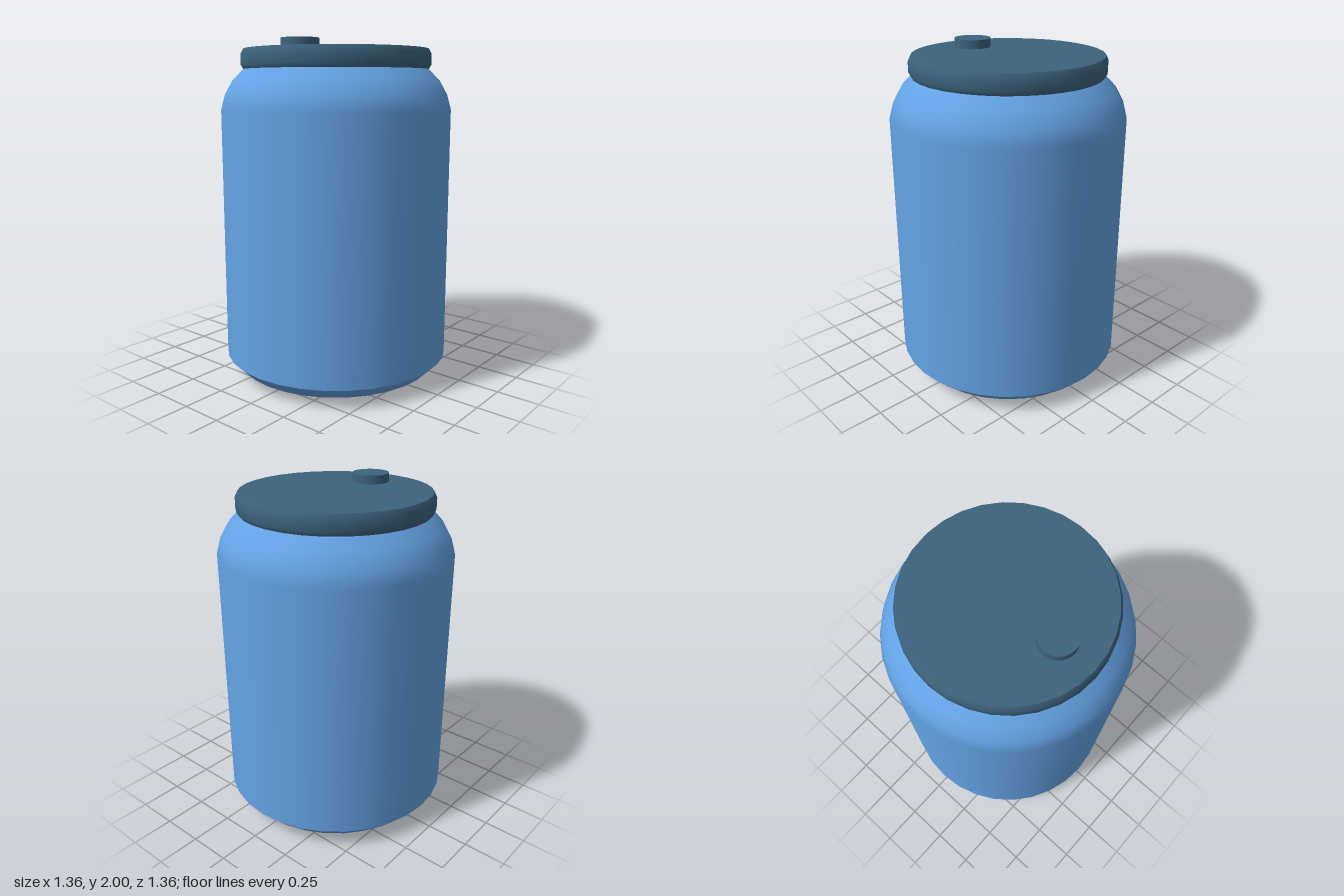
import * as THREE from 'three';

const SEGMENTS = 32;

// Revolve [radius, height] points, listed from bottom to top
function revolve(name, points, material) {
  const profile = points.map(([r, y]) => new THREE.Vector2(r, y));
  const mesh = new THREE.Mesh(new THREE.LatheGeometry(profile, SEGMENTS), material);
  mesh.name = name;
  return mesh;
}

export function createModel() {
  const blue = new THREE.MeshStandardMaterial({ color: 0x64a2e4 });
  blue.name = 'body blue';
  const slate = new THREE.MeshStandardMaterial({ color: 0x3d637e });
  slate.name = 'lid slate';

  const model = new THREE.Group();
  model.name = 'canister';

  // Rounded base, separate from the wall so the edge between them stays sharp
  model.add(revolve('base', [[0, 0], [0.48, 0.005], [0.605, 0.045], [0.68, 0.12]], blue));

  // Straight wall flowing smoothly into the shoulder
  model.add(revolve('body', [
    [0.68, 0.12], [0.68, 1.6], [0.655, 1.69], [0.61, 1.77], [0.54, 1.84],
  ], blue));

  // Lid: underside, bevelled rim and flat top
  const lid = new THREE.Group();
  lid.name = 'lid';
  lid.add(revolve('lidUnderside', [[0, 1.835], [0.545, 1.835]], slate));
  lid.add(revolve('lidRim', [[0.545, 1.835], [0.56, 1.86], [0.56, 1.92], [0.545, 1.95]], slate));
  lid.add(revolve('lidTop', [[0.545, 1.95], [0, 1.95]], slate));
  model.add(lid);

  // Small round button near the front of the lid
  const button = new THREE.Mesh(new THREE.CylinderGeometry(0.107, 0.107, 0.05, SEGMENTS), slate);
  button.name = 'button';
  button.position.set(0, 1.975, 0.315);
  model.add(button);

  return model;
}
